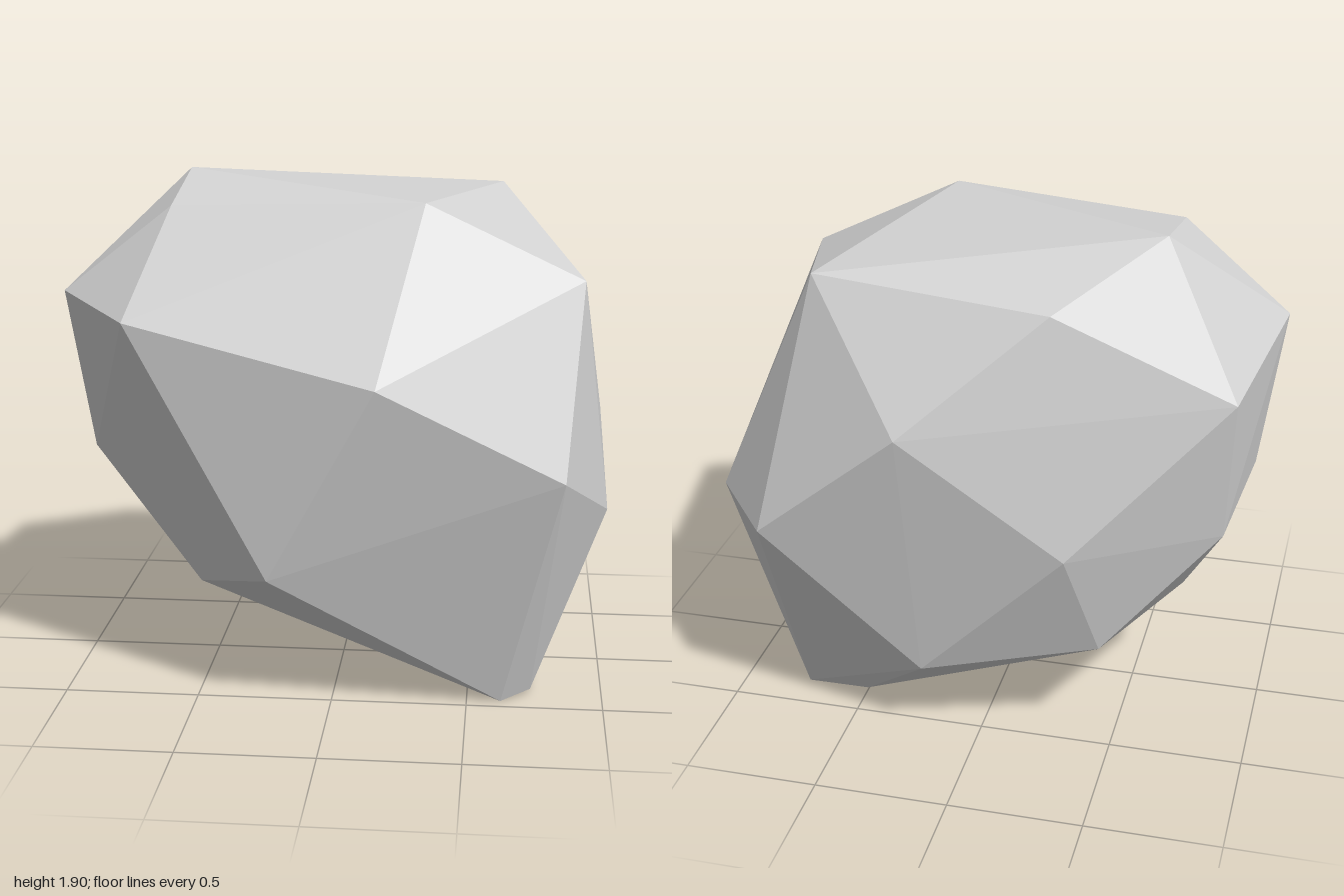
import * as THREE from 'three';
import { ConvexGeometry } from 'three/addons/geometries/ConvexGeometry.js';

// Corners of the faceted boulder, grouped by height
const crown = [
  [-0.59, 1.90, -0.10], [-0.585, 1.815, 0.36], [0.33, 1.85, 0.48],
  [0.59, 1.81, -0.52], [-0.28, 1.77, -0.62], [0.89, 1.58, 0.44],
];
const shoulder = [
  [-1.00, 1.49, 0.30], [-0.72, 1.44, 0.64], [0.18, 1.255, 0.805],
  [0.22, 1.34, -0.81], [-0.91, 1.47, -0.53],
];
const waist = [
  [0.835, 0.91, 0.685], [1.00, 0.71, 0.30], [1.00, 0.91, -0.45], [0.77, 0.88, -0.73],
  [-0.36, 0.90, -0.73], [-0.875, 0.91, -0.42], [-0.915, 0.89, 0.24],
];
const underside = [
  [-0.215, 0.52, 0.675], [-0.49, 0.43, 0.43], [-0.685, 0.445, 0.01],
  [-0.455, 0.44, -0.53], [0.19, 0.33, -0.65],
];
const foot = [
  [0.625, 0.00, 0.45], [0.735, 0.015, 0.36], [0.735, 0.02, -0.38], [0.48, 0.05, -0.42],
];

export function createModel() {
  const stone = new THREE.MeshStandardMaterial({ color: 0xd4d4d4 });
  stone.name = 'pale stone grey';

  // Flat facets stretched over all corners
  const points = [...crown, ...shoulder, ...waist, ...underside, ...foot]
    .map((p) => new THREE.Vector3(...p));
  const boulder = new THREE.Mesh(new ConvexGeometry(points), stone);
  boulder.name = 'boulder';

  const model = new THREE.Group();
  model.name = 'rock';
  model.add(boulder);
  return model;
}
